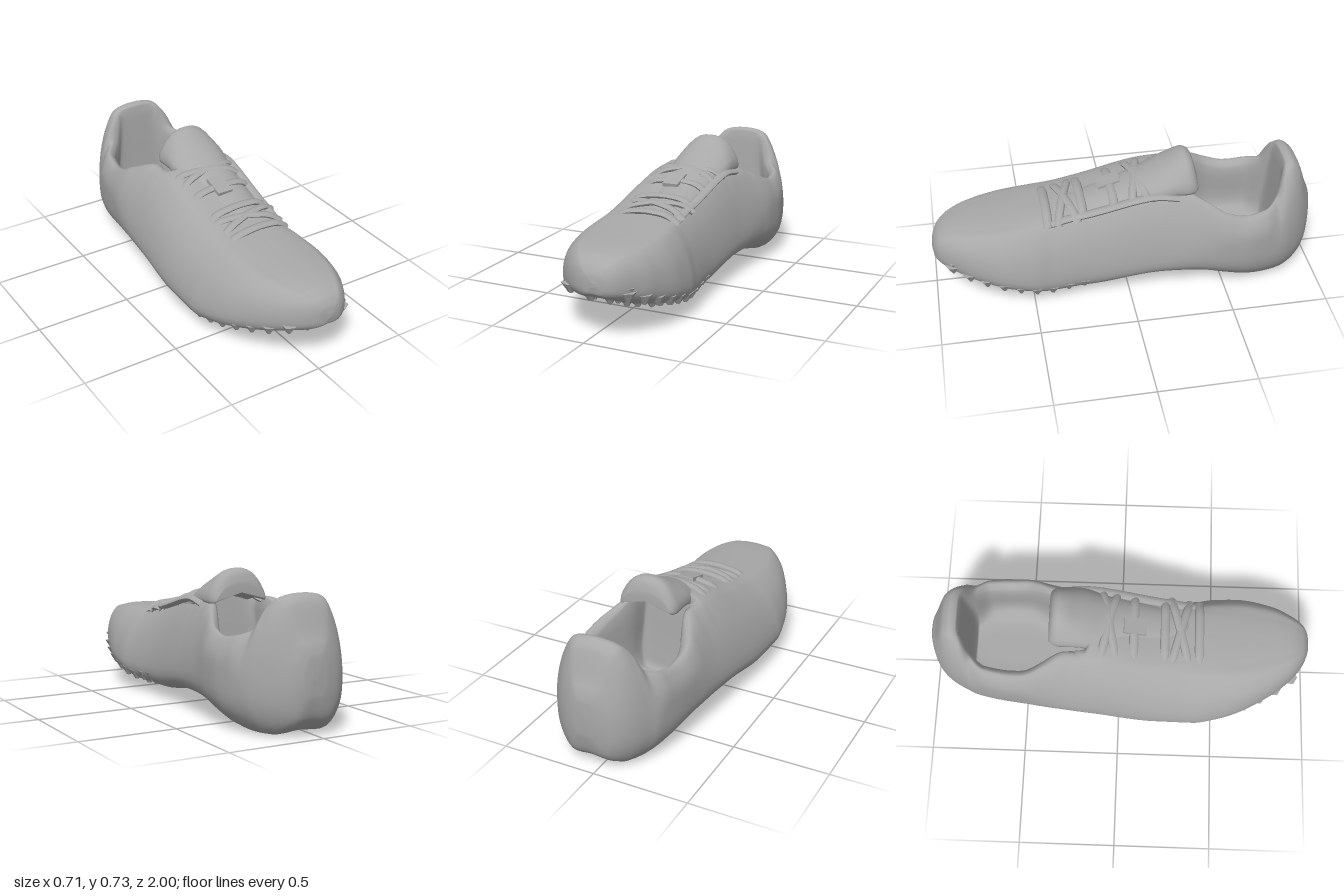
import * as THREE from 'three';

const grey = new THREE.MeshStandardMaterial({ color: 0xa8a8a8 });
grey.name = 'shoe grey';

const lerp = THREE.MathUtils.lerp;
const smooth = THREE.MathUtils.smoothstep;
const MID = 0.045; // x of the shoe's centre line

// z, right edge, left edge, sole y, widest y, top y
const KEYS = [
  [-1.0, 0.03, 0.06, 0.27, 0.29, 0.31],
  [-0.995, -0.02, 0.105, 0.19, 0.285, 0.385],
  [-0.96, -0.11, 0.18, 0.08, 0.27, 0.48],
  [-0.9, -0.17, 0.245, 0.03, 0.27, 0.63],
  [-0.86, -0.195, 0.275, 0.012, 0.27, 0.655],
  [-0.82, -0.215, 0.3, 0.005, 0.27, 0.635],
  [-0.77, -0.24, 0.32, 0.003, 0.27, 0.5],
  [-0.7, -0.26, 0.34, 0.006, 0.27, 0.455],
  [-0.6, -0.28, 0.355, 0.02, 0.27, 0.44],
  [-0.5, -0.295, 0.35, 0.045, 0.26, 0.465],
  [-0.4, -0.31, 0.335, 0.07, 0.24, 0.53],
  [-0.28, -0.322, 0.32, 0.085, 0.22, 0.595],
  [-0.15, -0.333, 0.305, 0.088, 0.2, 0.59],
  [0.2, -0.355, 0.29, 0.045, 0.16, 0.505],
  [0.4, -0.355, 0.305, 0.045, 0.15, 0.465],
  [0.5, -0.34, 0.32, 0.065, 0.16, 0.455],
  [0.6, -0.315, 0.317, 0.09, 0.18, 0.445],
  [0.8, -0.22, 0.265, 0.15, 0.235, 0.427],
  [0.9, -0.145, 0.21, 0.19, 0.265, 0.41],
  [0.96, -0.075, 0.165, 0.215, 0.28, 0.38],
  [0.992, -0.005, 0.115, 0.24, 0.285, 0.335],
  [1.0, 0.05, 0.07, 0.275, 0.285, 0.295],
];

// Smooth lookup in a key table sorted by its first column
function sample(keys, z) {
  const n = keys.length;
  let i = 0;
  while (i < n - 2 && z > keys[i + 1][0]) i++;
  const a = keys[i], b = keys[i + 1], h = b[0] - a[0], t = (z - a[0]) / h;
  const slope = (k, c) => {
    if (k === 0 || k === n - 1) return (b[c] - a[c]) / h;
    const d0 = (keys[k][c] - keys[k - 1][c]) / (keys[k][0] - keys[k - 1][0]);
    const d1 = (keys[k + 1][c] - keys[k][c]) / (keys[k + 1][0] - keys[k][0]);
    return d0 * d1 <= 0 ? 0 : 2 * d0 * d1 / (d0 + d1);
  };
  return a.map((v, c) => c === 0 ? z :
    v * (1 + 2 * t) * (1 - t) ** 2 + b[c] * t * t * (3 - 2 * t) +
    h * slope(i, c) * t * (1 - t) ** 2 + h * slope(i + 1, c) * t * t * (t - 1));
}

// Skin closed rings (counter-clockwise from +z, ordered by rising z), with end caps
function loft(rings) {
  const m = rings[0].length, n = rings.length, index = [];
  const pos = rings.flat().flatMap(p => [p.x, p.y, p.z]);
  for (let i = 0; i < n - 1; i++) for (let j = 0; j < m; j++) {
    const k = (j + 1) % m, a = i * m + j, b = i * m + k;
    index.push(a, b, a + m, b, b + m, a + m);
  }
  [0, n - 1].forEach((i, e) => {
    const c = rings[i].reduce((s, p) => s.add(p), new THREE.Vector3()).divideScalar(m);
    const id = pos.length / 3;
    pos.push(c.x, c.y, c.z);
    for (let j = 0; j < m; j++) {
      const a = i * m + j, b = i * m + (j + 1) % m;
      index.push(id, e ? a : b, e ? b : a);
    }
  });
  const g = new THREE.BufferGeometry();
  g.setAttribute('position', new THREE.Float32BufferAttribute(pos, 3));
  g.setIndex(index);
  g.computeVertexNormals();
  return g;
}

// One ring of the shoe body; inside the collar its top folds down to the insole
function bodyRing(z) {
  const [, xr, xl, yb, ym, yt] = sample(KEYS, z);
  const open = smooth(z, -0.825, -0.79) * (1 - smooth(z, -0.2, -0.16));
  const rim = smooth(z, -0.83, -0.7) * (1 - smooth(z, -0.52, -0.26));
  const toe = smooth(z, 0.3, 0.85);
  const up = f => lerp(ym, yt, f), floor = 0.12;
  const fr = lerp(lerp(0.58, 0.68, toe), 0.82, rim);
  const half = [
    [0.62, yb],
    [0.93, lerp(yb, ym, 0.38)],
    [1, ym],
    [lerp(lerp(0.85, 0.92, toe), 0.97, rim), up(lerp(0.54, 0.58, rim))],
    [fr, up(lerp(0.9, 1, rim))],
    [lerp(0.45, fr - 0.13, open), lerp(up(0.96), yt - 0.04, open)],
    [lerp(0.25, fr - 0.15, open), lerp(up(0.99), floor + 0.03, open)],
  ];
  const at = (edge, [f, y]) => new THREE.Vector3(lerp(MID, edge, f), y, z);
  const pts = [
    new THREE.Vector3(MID, yb, z), ...half.map(p => at(xl, p)),
    new THREE.Vector3(MID, lerp(yt, floor, open), z), ...half.map(p => at(xr, p)).reverse(),
  ];
  const curve = new THREE.CatmullRomCurve3(pts, true);
  return Array.from({ length: 64 }, (_, j) => curve.getPoint(j / 64));
}

// z, crest y, drop to the edges, half width, thickness
const TONGUE = [
  [-0.362, 0.645, 0.06, 0.135, 0.03],
  [-0.345, 0.7, 0.1, 0.15, 0.07],
  [-0.31, 0.722, 0.11, 0.16, 0.09],
  [-0.2, 0.67, 0.06, 0.16, 0.09],
  [-0.08, 0.61, 0.045, 0.145, 0.08],
  [0.1, 0.545, 0.035, 0.13, 0.06],
  [0.36, 0.47, 0.03, 0.11, 0.05],
];

function tongueRing(z) {
  const [, y, drop, w, thick] = sample(TONGUE, z);
  return Array.from({ length: 32 }, (_, j) => {
    const a = j / 32 * Math.PI * 2, c = Math.cos(a), s = Math.sin(a);
    return new THREE.Vector3(MID + 0.015 + w * c,
      y - thick / 2 - drop * Math.abs(c) ** 2.6 + thick / 2 * Math.sign(s) * Math.sqrt(Math.abs(s)), z);
  });
}

export function createModel() {
  const shoe = new THREE.Group();
  shoe.name = 'trackShoe';
  const add = (geometry, name) => {
    const mesh = new THREE.Mesh(geometry, grey);
    mesh.name = name;
    shoe.add(mesh);
    return mesh;
  };

  // Upper, collar, insole and sole in one skin
  const N = 210;
  add(loft(Array.from({ length: N + 1 }, (_, i) => bodyRing(-Math.cos(Math.PI * i / N)))), 'shoeBody');

  // Padded tongue
  add(loft(Array.from({ length: 41 }, (_, i) => tongueRing(lerp(-0.362, 0.36, (i / 40) ** 1.4)))), 'tongue');

  // Flattened straps laid over the instep, from (x0, z0) to (x1, z1)
  const instep = (x, z) => sample(KEYS, z)[5] - 1.1 * (x - MID) ** 2;
  const strap = ([x0, z0, x1, z1], radius, lift, name) => {
    const pts = Array.from({ length: 7 }, (_, i) => {
      const t = i / 6, x = lerp(x0, x1, t), z = lerp(z0, z1, t);
      return new THREE.Vector3(x, instep(x, z) + lift - (i % 6 ? 0 : 0.02), z);
    });
    const curve = new THREE.CatmullRomCurve3(pts);
    const tube = new THREE.TubeGeometry(curve, 20, radius, 8);
    const p = tube.attributes.position;
    for (let i = 0; i < p.count; i++) {
      const y = curve.getPointAt(Math.floor(i / 9) / 20).y;
      p.setY(i, lerp(y, p.getY(i), 0.6));
    }
    tube.computeVertexNormals();
    add(tube, name);
  };

  // Eyelet edges either side of the throat
  strap([-0.14, -0.26, -0.1, 0.42], 0.026, 0, 'eyeletEdgeRight');
  strap([0.22, -0.26, 0.18, 0.42], 0.026, 0, 'eyeletEdgeLeft');

  // Laces: straight bars, then crossings
  for (const z of [0.07, 0.23, 0.41]) strap([-0.15, z, 0.205, z], 0.024, 0.012, 'laceBar');
  for (const [a, b] of [[-0.1, -0.02], [0.26, 0.36]]) {
    strap([-0.16, a, 0.21, b], 0.022, 0.014, 'laceCross');
    strap([-0.15, b, 0.22, a], 0.022, 0.014, 'laceCross');
  }

  // Lace keeper on the tongue
  const keeper = add(new THREE.BoxGeometry(0.085, 0.02, 0.12), 'laceKeeper');
  keeper.position.set(0.027, 0.556, 0.075);
  keeper.rotation.x = 0.27;

  // Blunt studs under the forefoot
  const stud = new THREE.CylinderGeometry(0.042, 0.01, 0.05, 6).toNonIndexed();
  stud.computeVertexNormals();
  for (let r = 0; r < 9; r++) {
    const z = 0.24 + r * 0.083;
    const [, xr, xl, yb, ym] = sample(KEYS, z);
    const count = Math.max(4, Math.round((xl - xr) / 0.1));
    for (let i = 0; i < count; i++) {
      const f = lerp(-0.86, 0.86, i / (count - 1)), edge = f < 0 ? xr : xl;
      const rise = smooth(Math.abs(f), 0.6, 0.95) * 0.35 * (ym - yb);
      const sunk = 0.015 * (1 - smooth(z, 0.2, 0.5));
      add(stud, 'stud').position.set(lerp(MID, edge, Math.abs(f)), yb + rise + 0.004 + sunk, z);
    }
  }
  // Row of studs round the toe
  for (let i = 0; i < 5; i++) {
    const f = i / 2 - 1;
    add(stud, 'toeStud').position.set(0.06 + f * 0.12, 0.238, 0.95 - 0.06 * f * f);
  }
  return shoe;
}
